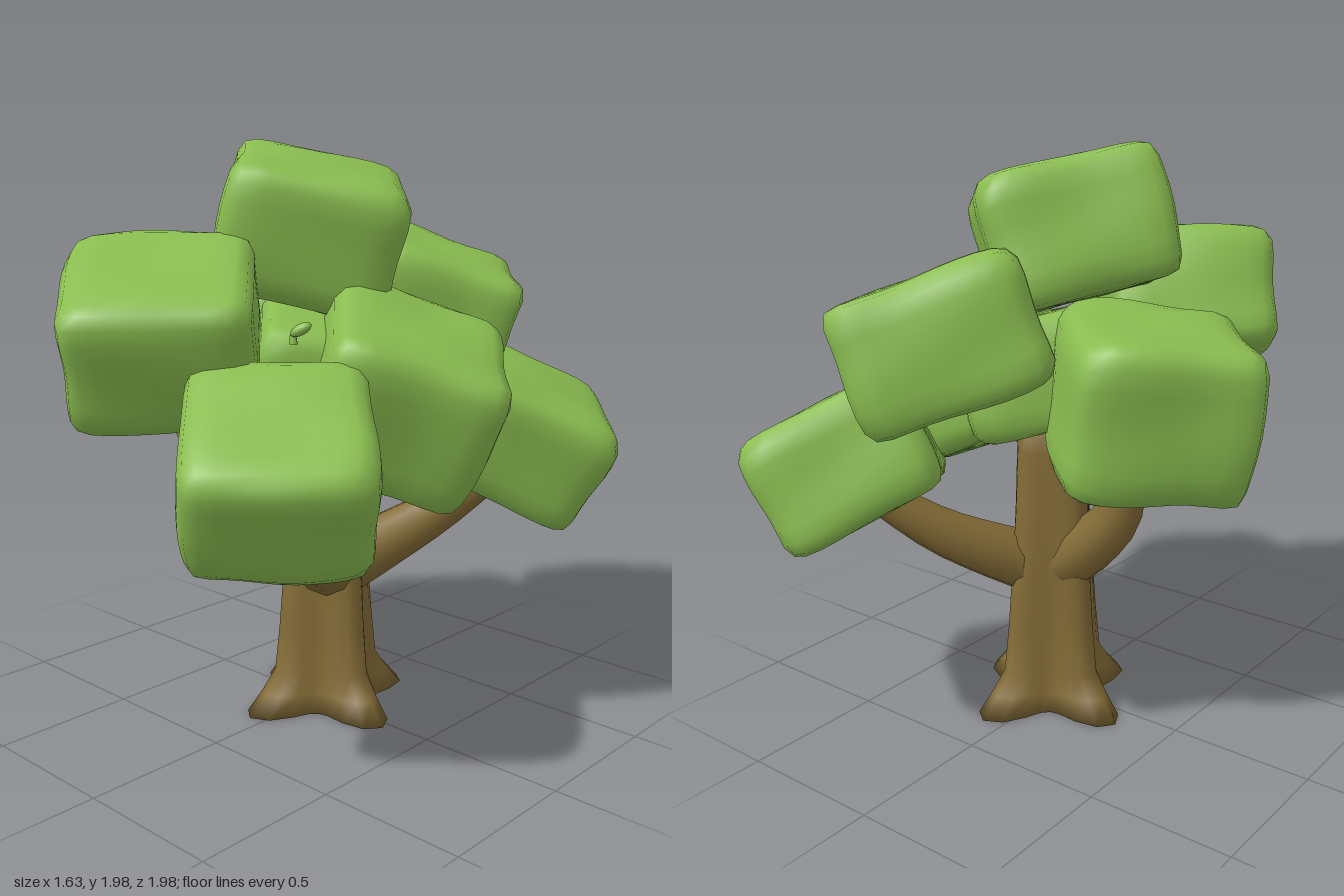
import * as THREE from 'three';
import { mergeVertices } from 'three/addons/utils/BufferGeometryUtils.js';

const leaf = new THREE.MeshStandardMaterial({ color: 0x8abd50 });
leaf.name = 'leaf green';
const bark = new THREE.MeshStandardMaterial({ color: 0x836b36 });
bark.name = 'bark brown';

// Strip seams so that normals run smoothly round the whole shape
function smooth(geometry) {
  geometry.deleteAttribute('uv');
  geometry.deleteAttribute('normal');
  const g = mergeVertices(geometry, 1e-4);
  g.computeVertexNormals();
  return g;
}

// Lumpy block with rounded edges, turned to a diamond plan
function clumpGeometry(half, height, seed) {
  const g = new THREE.BoxGeometry(2, 2, 2, 10, 8, 10);
  const p = g.attributes.position;
  const v = new THREE.Vector3();
  for (let i = 0; i < p.count; i++) {
    v.fromBufferAttribute(p, i);
    const plan = (v.x ** 8 + v.z ** 8) ** (1 / 8);
    const n = (plan ** 8 + v.y ** 8) ** (1 / 8);
    const bump = 1 + 0.025 * Math.sin(v.x * 4 + seed * 2.1) * Math.cos(v.z * 3.7 + seed)
      + 0.015 * Math.sin(v.y * 4 + v.x * 2 + seed * 3.3);
    v.multiplyScalar(bump / n);
    p.setXYZ(i, v.x * half, v.y * height, v.z * half);
  }
  return smooth(g.rotateY(Math.PI / 4));
}

// Tapered limb along a curve
function limbGeometry(points, r0, r1) {
  const curve = new THREE.CatmullRomCurve3(points.map((a) => new THREE.Vector3(...a)));
  const rings = 8, sides = 10;
  const g = new THREE.TubeGeometry(curve, rings, 1, sides);
  const p = g.attributes.position;
  const v = new THREE.Vector3();
  for (let i = 0; i < p.count; i++) {
    const t = Math.floor(i / (sides + 1)) / rings;
    const c = curve.getPointAt(t);
    v.fromBufferAttribute(p, i).sub(c).multiplyScalar(r0 + (r1 - r0) * t).add(c);
    p.setXYZ(i, v.x, v.y, v.z);
  }
  return smooth(g);
}

// Trunk: stacked rings with four ridges that flare into roots
function trunkGeometry() {
  const rings = [ // height, ridge radius, valley radius
    [0, 0.33, 0.16], [0.07, 0.265, 0.15], [0.14, 0.21, 0.14], [0.3, 0.19, 0.135],
    [0.5, 0.172, 0.13], [0.75, 0.15, 0.125], [0.95, 0.14, 0.12], [1.1, 0.13, 0.11],
  ];
  const g = new THREE.CylinderGeometry(1, 1, 1, 32, rings.length - 1);
  const p = g.attributes.position;
  for (let i = 0; i < p.count; i++) {
    const x = p.getX(i), z = p.getZ(i);
    const [y, ridge, valley] = rings[Math.round((p.getY(i) + 0.5) * (rings.length - 1))];
    const lobe = (0.5 + 0.5 * Math.cos(4 * (Math.atan2(z, x) - 0.22))) ** 1.3;
    const r = valley + (ridge - valley) * lobe;
    p.setXYZ(i, x * r + 0.012, y, z * r - 0.03);
  }
  return smooth(g);
}

export function createModel() {
  const tree = new THREE.Group();
  tree.name = 'tree';
  const add = (name, geometry, material) => {
    const m = new THREE.Mesh(geometry, material);
    m.name = name;
    tree.add(m);
    return m;
  };

  add('trunk', trunkGeometry(), bark);

  // Branches reaching into the lower clumps
  const branches = {
    frontBranch: [[0.05, 0.5, -0.02], [0.13, 0.59, 0.14], [0.21, 0.68, 0.29], [0.33, 0.92, 0.46]],
    backBranch: [[0.05, 0.5, -0.05], [0.14, 0.58, -0.2], [0.25, 0.68, -0.36], [0.42, 0.86, -0.55]],
    rightBranch: [[-0.02, 0.52, -0.03], [-0.16, 0.63, -0.03], [-0.27, 0.76, -0.03], [-0.32, 1.0, -0.03]],
  };
  for (const [name, pts] of Object.entries(branches)) add(name, limbGeometry(pts, 0.115, 0.055), bark);

  // Foliage: centre, half width, half height, and the slope its top falls away along x and z
  const clumps = [
    ['topClump', [-0.06, 1.685, -0.02], 0.3, 0.22, 0.31, 0],
    ['leftClump', [0.35, 1.165, -0.01], 0.295, 0.25, 0.53, 0],
    ['rightClump', [-0.41, 1.18, -0.07], 0.3, 0.26, -0.16, 0],
    ['frontRightClump', [-0.12, 1.385, 0.58], 0.295, 0.225, 0.3, 0.33],
    ['frontLeftClump', [0.39, 1.015, 0.59], 0.28, 0.21, 0.42, 0.43],
    ['backRightClump', [0.0, 1.41, -0.59], 0.295, 0.21, 0.38, -0.12],
    ['backLeftClump', [0.42, 0.96, -0.61], 0.28, 0.205, 0.54, -0.15],
    ['innerFoliage', [0.08, 1.2, 0], 0.28, 0.2, 0.27, 0],
  ];
  const up = new THREE.Vector3(0, 1, 0);
  clumps.forEach(([name, centre, half, height, slopeX, slopeZ], i) => {
    const m = add(name, clumpGeometry(half, height, i + 1), leaf);
    m.position.set(...centre);
    m.quaternion.setFromUnitVectors(up, new THREE.Vector3(slopeX, 1, slopeZ).normalize());
  });

  // Small sprig between the front clumps
  add('sprigStem', limbGeometry([[0.35, 1.37, 0.48], [0.35, 1.4, 0.48], [0.38, 1.41, 0.48]], 0.012, 0.008), leaf);
  const tip = add('sprigLeaf', new THREE.SphereGeometry(1, 10, 8), leaf);
  tip.scale.set(0.035, 0.017, 0.02);
  tip.position.set(0.375, 1.415, 0.475);
  tip.rotation.set(0, 0.6, 0.5);

  return tree;
}
